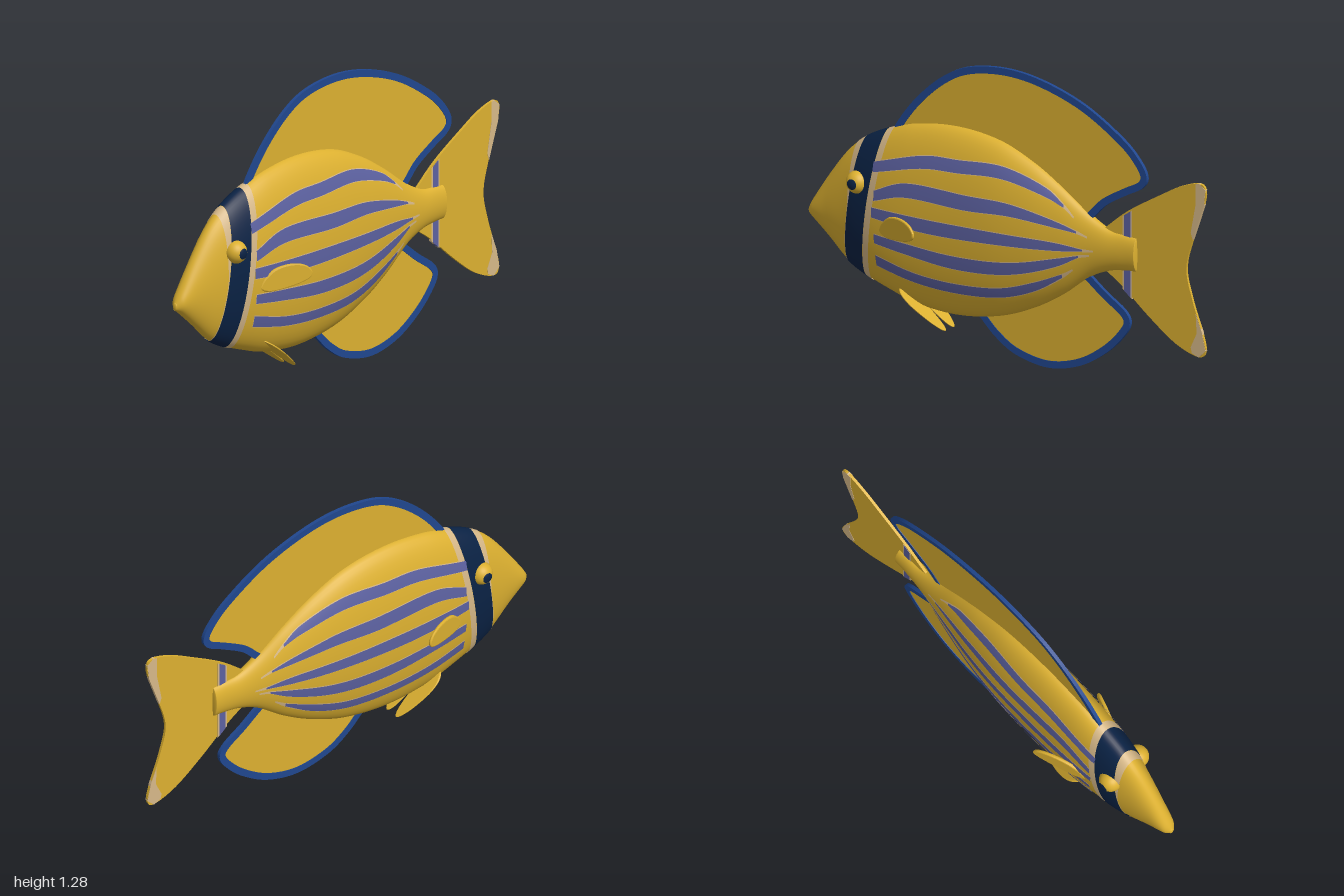
import * as THREE from 'three';

const paint = (name, color, side = THREE.FrontSide) => {
  const m = new THREE.MeshStandardMaterial({ color, side });
  m.name = name;
  return m;
};

// Body sections: z, top y, bottom y, half width
const SECTIONS = [
  [1, 0.5, 0.465, 0.012], [0.98, 0.535, 0.452, 0.031], [0.89, 0.67, 0.376, 0.053], [0.8, 0.785, 0.295, 0.073],
  [0.715, 0.855, 0.25, 0.092], [0.6, 0.912, 0.208, 0.107], [0.46, 0.96, 0.168, 0.115], [0.25, 0.985, 0.153, 0.118],
  [0.035, 0.962, 0.187, 0.114], [-0.14, 0.893, 0.256, 0.098], [-0.285, 0.807, 0.342, 0.075], [-0.42, 0.713, 0.444, 0.051],
  [-0.52, 0.665, 0.488, 0.038], [-0.6, 0.658, 0.502, 0.032], [-0.65, 0.655, 0.506, 0.031],
];

// Smooth interpolation of the sections: centre height, half height, half width
function section(z) {
  const S = SECTIONS, n = S.length;
  let i = 0;
  while (i < n - 2 && z < S[i + 1][0]) i++;
  const h = S[i + 1][0] - S[i][0];
  const t = THREE.MathUtils.clamp((z - S[i][0]) / h, 0, 1);
  const slope = (k, c) => {
    const a = S[Math.max(k - 1, 0)], b = S[Math.min(k + 1, n - 1)];
    return (b[c] - a[c]) / (b[0] - a[0]);
  };
  const at = (c) =>
    (2 * t ** 3 - 3 * t * t + 1) * S[i][c] + (t ** 3 - 2 * t * t + t) * h * slope(i, c) +
    (3 * t * t - 2 * t ** 3) * S[i + 1][c] + (t ** 3 - t * t) * h * slope(i + 1, c);
  const top = at(1), bottom = at(2);
  return { c: (top + bottom) / 2, h: (top - bottom) / 2, w: at(3) };
}

// Grid surface from a rule f(u, v); closed joins u = 1 to u = 0
function surface(nu, nv, f, closed) {
  const cols = closed ? nu : nu + 1, pos = [], idx = [];
  for (let j = 0; j <= nv; j++) for (let i = 0; i < cols; i++) pos.push(...f(i / nu, j / nv));
  for (let j = 0; j < nv; j++) for (let i = 0; i < nu; i++) {
    const a = j * cols + i, b = j * cols + ((i + 1) % cols), c = a + cols, d = b + cols;
    idx.push(a, c, b, b, c, d);
  }
  const g = new THREE.BufferGeometry();
  g.setAttribute('position', new THREE.Float32BufferAttribute(pos, 3));
  g.setIndex(idx);
  g.computeVertexNormals();
  return g;
}

const v2 = (list) => list.map(([a, b]) => new THREE.Vector2(a, b));
const spline = (list, n = 90) => new THREE.SplineCurve(v2(list)).getPoints(n);

// Flat plate of given thickness, centred on its plane
function plate(points, thick, bevel = 0) {
  const depth = thick - 2 * bevel;
  const g = new THREE.ExtrudeGeometry(new THREE.Shape(points), {
    depth, bevelEnabled: bevel > 0, bevelThickness: bevel, bevelSize: bevel, bevelOffset: -bevel, bevelSegments: 2,
  });
  return g.translate(0, 0, -depth / 2);
}
// Plate drawn in (z, y), standing on the centre plane
const sidePlate = (points, thick, bevel) => plate(points, thick, bevel).rotateY(-Math.PI / 2);

// Move each vertex by a rule
function warp(g, rule) {
  const p = g.attributes.position, v = new THREE.Vector3();
  for (let i = 0; i < p.count; i++) {
    rule(v.fromBufferAttribute(p, i));
    p.setXYZ(i, v.x, v.y, v.z);
  }
  g.computeVertexNormals();
  return g;
}

// Shift an open curve sideways
const inset = (pts, d) => pts.map((p, i) => {
  const t = pts[Math.min(i + 1, pts.length - 1)].clone().sub(pts[Math.max(i - 1, 0)]).normalize();
  return new THREE.Vector2(p.x - t.y * d, p.y + t.x * d);
});

export function createModel() {
  const yellow = paint('yellow', 0xdcb030, THREE.DoubleSide);
  const navy = paint('navy', 0x0a2244, THREE.DoubleSide);
  const blue = paint('blue', 0x20478f);
  const lavender = paint('lavender', 0x5c61a0, THREE.DoubleSide);
  const beige = paint('beige', 0xd6b888, THREE.DoubleSide);

  const fish = new THREE.Group();
  fish.name = 'fish';
  const add = (name, geometry, material) => {
    const m = new THREE.Mesh(geometry, material);
    m.name = name;
    fish.add(m);
    return m;
  };

  // Body, with its blunt ends closed
  add('body', surface(56, 110, (u, v) => {
    const z = 1 - 1.65 * v ** 1.2, s = section(z), a = u * Math.PI * 2;
    return [s.w * Math.cos(a), s.c + s.h * Math.sin(a), z];
  }, true), yellow);
  for (const [name, z, dir] of [['noseTip', 1, 1], ['tailBase', -0.65, -1]]) {
    const s = section(z);
    const cap = new THREE.SphereGeometry(1, 32, 12).scale(s.w, s.h, 0.006);
    add(name, cap.translate(0, s.c, z - dir * 0.001), yellow);
  }

  // Slanted rings around the head; edges give z for a height y
  const ring = (name, front, back, lift, material) => add(name, surface(72, 6, (u, v) => {
    const a = u * Math.PI * 2;
    let z = 0.7, y = 0.55, s;
    for (let k = 0; k < 12; k++) {
      s = section(z);
      y = s.c + (s.h + lift) * Math.sin(a);
      z = THREE.MathUtils.lerp(front(y), back(y), v);
    }
    return [(s.w + lift) * Math.cos(a), y, z];
  }, true), material);
  const bandFront = (y) => 0.757 - 0.148 * (y - 0.55);
  const bandBack = (y) => 0.656 - 0.154 * (y - 0.55);
  ring('headBand', bandFront, bandBack, 0.004, navy);
  ring('headBandFrontEdge', (y) => bandFront(y) + 0.003 + Math.max(0, y - 0.55) * 0.12, bandFront, 0.003, beige);
  ring('headBandBackEdge', bandBack, (y) => bandBack(y) - 0.032, 0.003, beige);

  // Side stripes: z, centre y, half height
  const stripes = [
    [[0.625, 0.76, 0.022], [0.36, 0.83, 0.027], [0.2, 0.84, 0.027], [-0.02, 0.848, 0.025], [-0.23, 0.79, 0.016], [-0.31, 0.745, 0.005]],
    [[0.61, 0.64, 0.022], [0.46, 0.692, 0.03], [0.14, 0.695, 0.032], [-0.07, 0.698, 0.026], [-0.29, 0.665, 0.013], [-0.38, 0.645, 0.004]],
    [[0.62, 0.565, 0.022], [0.35, 0.557, 0.03], [-0.02, 0.565, 0.026], [-0.29, 0.57, 0.017], [-0.41, 0.57, 0.004]],
    [[0.61, 0.45, 0.02], [0.46, 0.437, 0.024], [0.2, 0.42, 0.029], [-0.07, 0.44, 0.027], [-0.29, 0.5, 0.018], [-0.39, 0.54, 0.004]],
    [[0.61, 0.35, 0.024], [0.41, 0.31, 0.022], [0.2, 0.3, 0.022], [-0.02, 0.32, 0.022], [-0.18, 0.373, 0.02], [-0.31, 0.44, 0.008]],
  ];
  const ribbon = (rows, side, lift, extra) => {
    const curve = new THREE.CatmullRomCurve3(rows.map((r) => new THREE.Vector3(...r)));
    return surface(6, 60, (u, v) => {
      const p = curve.getPoint(v), s = section(p.x);
      const y = p.y + (u * 2 - 1) * (p.z + extra);
      return [side * (s.w * Math.sqrt(Math.max(0, 1 - ((y - s.c) / s.h) ** 2)) + lift), y, p.x];
    });
  };
  for (const side of [1, -1]) {
    const label = side > 0 ? 'left' : 'right';
    stripes.forEach((rows, i) => {
      const [z, y] = rows[rows.length - 1];
      add(`${label}Stripe${i + 1}`, ribbon(rows, side, 0.005, 0), lavender);
      const tail = [z - 0.05, y + (0.58 - y) * 0.25, 0.001];
      add(`${label}StripeEdge${i + 1}`, ribbon([...rows, tail], side, 0.003, 0.003), beige);
    });

    // Eye and pupil
    const eye = new THREE.SphereGeometry(0.05, 28, 20);
    add(`${label}Eye`, eye.translate(side * 0.077, 0.675, 0.71), yellow);
    const pupil = new THREE.SphereGeometry(0.0515, 24, 8, 0, Math.PI * 2, 0, 0.47).rotateZ(-side * Math.PI / 2);
    add(`${label}Pupil`, pupil.translate(side * 0.077, 0.675, 0.71), navy);

    // Pectoral fin, swept outward toward its tip
    const pectoral = sidePlate(spline([[0.59, 0.49], [0.565, 0.53], [0.515, 0.568], [0.445, 0.58], [0.385, 0.567],
      [0.355, 0.535], [0.37, 0.505], [0.44, 0.482], [0.54, 0.47], [0.59, 0.49]], 48).slice(0, -1), 0.016, 0.006);
    add(`${label}PectoralFin`, warp(pectoral, (p) => { p.x += side * (0.1 + (0.58 - p.z) * 0.38); }), yellow);

    // Pelvic fin, leaning back and down
    const pelvic = plate(spline([[0.01, 0.23], [0.055, 0.238], [0.085, 0.215], [0.09, 0.175], [0.07, 0.12],
      [0.045, 0.086], [0.025, 0.082], [0.01, 0.105], [0.002, 0.16], [0.01, 0.23]], 48).slice(0, -1)
      .map((p) => new THREE.Vector2(p.x * side, p.y)), 0.012, 0.004);
    add(`${label}PelvicFin`, warp(pelvic, (p) => { p.z += 0.5 - (0.23 - p.y) * 1.345; }), yellow);
  }

  // Dorsal and anal fins with a blue rim
  const rimmedFin = (name, list, dir) => {
    const outer = spline(list);
    add(name, sidePlate(inset(outer, dir * 0.015), 0.01), yellow);
    add(`${name}Rim`, sidePlate([...outer, ...inset(outer, dir * 0.031).reverse()], 0.016), blue);
  };
  rimmedFin('dorsalFin', [[0.59, 0.87], [0.56, 0.945], [0.46, 1.075], [0.33, 1.19], [0.195, 1.257], [0.01, 1.283], [-0.18, 1.262],
    [-0.39, 1.193], [-0.58, 1.08], [-0.67, 0.995], [-0.703, 0.93], [-0.68, 0.88], [-0.605, 0.838], [-0.5, 0.775],
    [-0.435, 0.71], [-0.38, 0.66]], 1);
  rimmedFin('analFin', [[0.2, 0.22], [0.14, 0.165], [0.06, 0.09], [-0.045, 0.03], [-0.205, 0.003], [-0.365, 0.04], [-0.5, 0.123],
    [-0.59, 0.214], [-0.618, 0.275], [-0.59, 0.325], [-0.5, 0.385], [-0.42, 0.445], [-0.36, 0.48]], -1);

  // Tail fin
  add('tailFin', sidePlate(spline([[-0.44, 0.63], [-0.49, 0.672], [-0.607, 0.768], [-0.767, 0.866], [-0.874, 0.925], [-0.965, 0.953],
    [-0.998, 0.93], [-0.99, 0.86], [-0.94, 0.717], [-0.902, 0.572], [-0.93, 0.44], [-0.98, 0.3], [-0.998, 0.22],
    [-0.965, 0.187], [-0.85, 0.225], [-0.714, 0.32], [-0.58, 0.43], [-0.49, 0.49], [-0.44, 0.53]]), 0.012), yellow);

  // Pale tail tips and the tail stripe
  const patch = (name, list, thick, material) => add(name, sidePlate(v2(list), thick), material);
  patch('upperTailTip', [[-0.95, 0.95], [-0.968, 0.954], [-0.999, 0.93], [-0.991, 0.86], [-0.935, 0.7], [-0.925, 0.73], [-0.95, 0.86]], 0.015, beige);
  patch('lowerTailTip', [[-0.93, 0.2], [-0.965, 0.186], [-0.999, 0.22], [-0.981, 0.3], [-0.95, 0.375], [-0.955, 0.29], [-0.925, 0.225]], 0.015, beige);
  for (const [name, lo, hi, slope] of [['upper', 0.64, 0.754, -0.7], ['lower', 0.405, 0.52, 0.8]]) {
    const box = (a, b) => name === 'upper'
      ? [[a, lo], [a, hi + (a + 0.6) * slope], [b, hi + (b + 0.6) * slope], [b, lo]]
      : [[a, hi], [a, lo + (a + 0.6) * slope], [b, lo + (b + 0.6) * slope], [b, hi]];
    patch(`${name}TailStripe`, box(-0.588, -0.62), 0.017, lavender);
    patch(`${name}TailStripeEdge`, box(-0.58, -0.628), 0.015, beige);
  }
  return fish;
}
